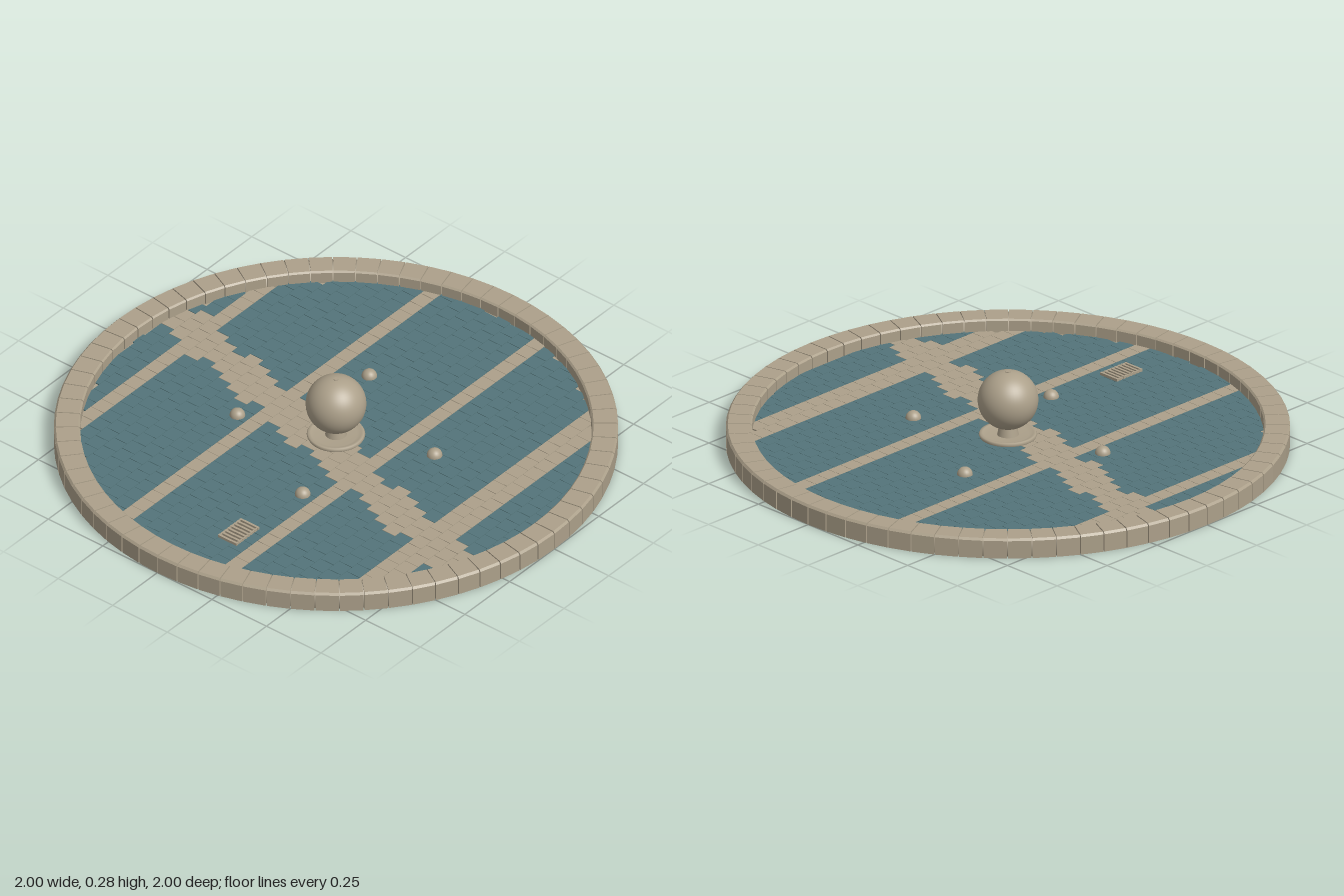
import * as THREE from 'three';
import { mergeGeometries } from 'three/addons/utils/BufferGeometryUtils.js';

const stone = new THREE.MeshStandardMaterial({ color: 0xaca08a });
stone.name = 'sandstone';
const teal = new THREE.MeshStandardMaterial({ color: 0x53747a });
teal.name = 'tealTile';

const FLOOR = 0.03; // top of the tiles

export function createModel() {
  const group = new THREE.Group();
  group.name = 'fountain';
  const add = (name, geometry, material, x = 0, y = 0, z = 0) => {
    const mesh = new THREE.Mesh(geometry, material);
    mesh.name = name;
    mesh.position.set(x, y, z);
    group.add(mesh);
    return mesh;
  };

  // Basin slab under the tiles
  add('basinSlab', new THREE.CylinderGeometry(0.915, 0.915, 0.014, 72), stone, 0, 0.018, 0);

  // Mortar core seen in the joints between the rim stones
  const core = [[0.915, 0.004], [0.99, 0.004], [0.99, 0.069], [0.915, 0.069], [0.915, 0.004]];
  add('rimCore', new THREE.LatheGeometry(core.map(p => new THREE.Vector2(...p)), 72), stone);

  // Rim of wedge-shaped stones with a chamfered top
  const count = 72;
  const half = Math.PI / count;
  const profile = new THREE.Shape([
    [0.907, 0], [1, 0], [1, 0.067], [0.993, 0.075], [0.913, 0.075], [0.907, 0.069],
  ].map(p => new THREE.Vector2(...p)));
  const stones = [];
  for (let i = 0; i < count; i++) {
    const g = new THREE.ExtrudeGeometry(profile, { depth: 1, bevelEnabled: false });
    const p = g.attributes.position;
    for (let k = 0; k < p.count; k++) {
      const side = p.getZ(k) > 0.5 ? 1 : -1;
      p.setZ(k, side * (p.getX(k) * Math.tan(half) - 0.002));
    }
    g.computeVertexNormals();
    stones.push(g.rotateY((i + 0.5) * 2 * half));
  }
  add('rimStones', mergeGeometries(stones), stone);

  // Floor tiles in running bond: cross bands and a slanting path in stone, the rest teal
  const size = 0.06;
  const bandRows = [-13, -5, 3, 10, 11];
  const pathTiles = [], poolTiles = [];
  for (let row = -16; row < 16; row++) {
    const z = (row + 0.5) * size;
    const shift = row % 2 === 0 ? 0 : size / 2;
    for (let col = -16; col <= 16; col++) {
      const x = col * size + shift;
      if (Math.hypot(x, z) > 0.93) continue;
      const tile = new THREE.BoxGeometry(size - 0.0015, 0.006, size - 0.0015);
      tile.translate(x, FLOOR - 0.003, z);
      const onPath = Math.abs(x - (-0.07 - 0.3 * z)) < 0.077;
      (onPath || bandRows.includes(row) ? pathTiles : poolTiles).push(tile);
    }
  }
  add('pathTiles', mergeGeometries(pathTiles), stone);
  add('poolTiles', mergeGeometries(poolTiles), teal);

  // Pedestal dish and stem below the ball
  const dish = [[0.0, 0.036], [0.075, 0.036], [0.09, 0.043], [0.1, 0.043], [0.104, 0.036], [0.1, 0.028]];
  add('pedestalDish', new THREE.LatheGeometry(dish.reverse().map(p => new THREE.Vector2(...p)), 48), stone);
  add('pedestalStem', new THREE.CylinderGeometry(0.03, 0.04, 0.05, 32), stone, 0, 0.053, 0);

  // Central ball with a small spout
  add('ball', new THREE.SphereGeometry(0.108, 48, 32), stone, 0, 0.17, 0);
  add('spout', new THREE.CylinderGeometry(0.009, 0.009, 0.01, 16), stone, 0, 0.275, 0);

  // Four small domed jets around the ball
  for (let i = 0; i < 4; i++) {
    const a = 0.36 + i * Math.PI / 2;
    add('jet', new THREE.SphereGeometry(0.028, 24, 16), stone,
      0.369 * Math.sin(a), FLOOR, 0.369 * Math.cos(a));
  }

  // Drain grate: parallel slats between two end bars
  const grate = [];
  for (let i = 0; i < 8; i++) {
    grate.push(new THREE.BoxGeometry(0.009, 0.01, 0.085).translate(-0.06 + i * 0.0171, 0, 0));
  }
  for (const s of [-1, 1]) {
    grate.push(new THREE.BoxGeometry(0.129, 0.008, 0.006).translate(0, 0, s * 0.039));
  }
  add('drainGrate', mergeGeometries(grate), stone, -0.667, FLOOR + 0.005, 0.1);

  return group;
}
